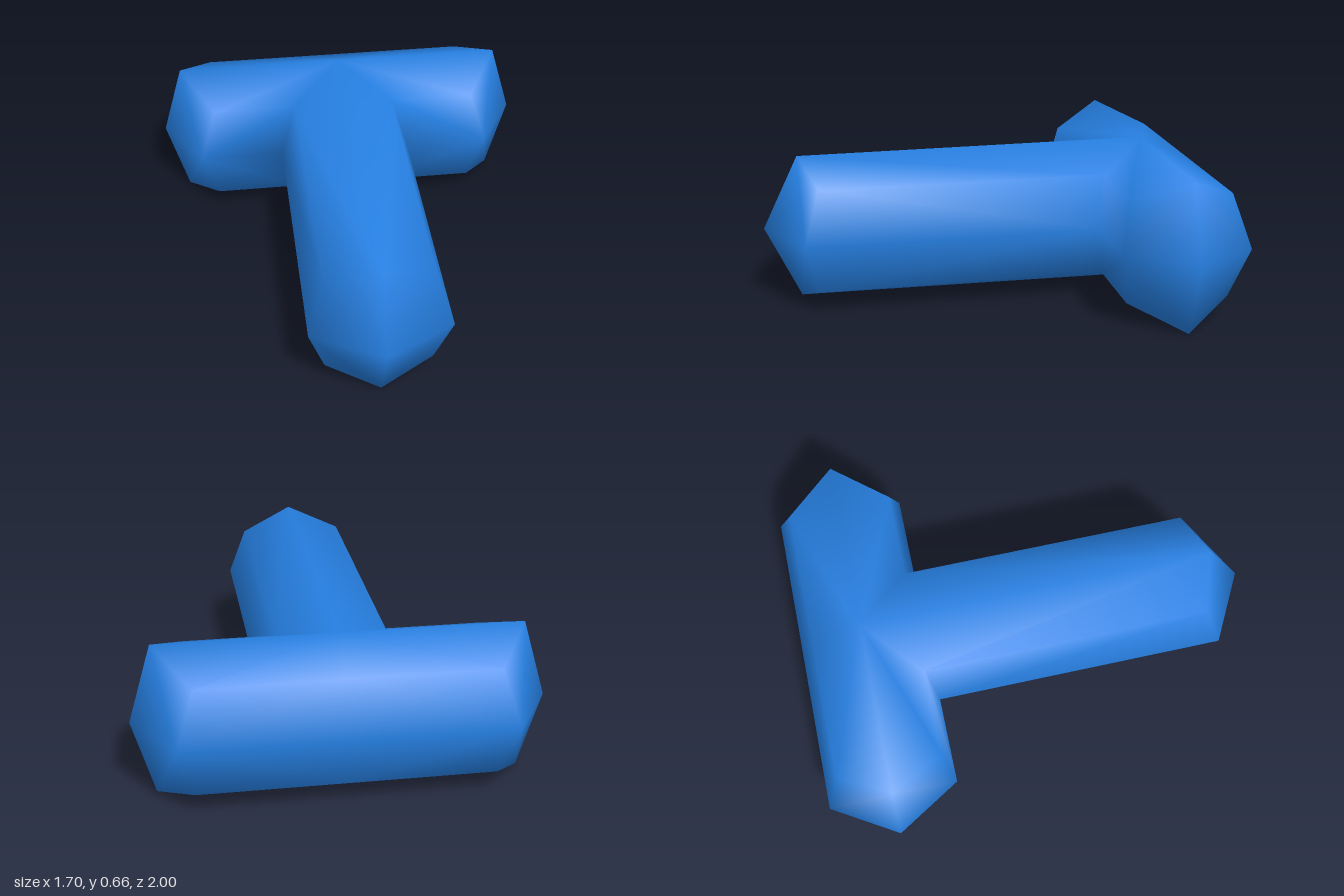
import * as THREE from 'three';
import { mergeVertices } from 'three/addons/utils/BufferGeometryUtils.js';

// Corner points of one quarter (x >= 0, upper half), y measured from the mid plane
const P = {
  // crossbar end
  tip: [0.85, 0, -0.72], top: [0.755, 0.33, -0.71], frontUp: [0.61, 0.23, -0.48],
  front: [0.68, 0, -0.44], backUp: [0.61, 0.23, -0.93], back: [0.68, 0, -1],
  // crossbar middle and joint
  topMid: [0, 0.33, -0.71], backUpMid: [0, 0.23, -0.93], backMid: [0, 0, -1],
  jointUp: [0.23, 0.23, -0.48], joint: [0.3, 0, -0.44],
  // stem end
  nose: [0, 0, 1], noseTop: [0, 0.322, 0.845], noseUp: [0.23, 0.23, 0.775], noseSide: [0.3, 0, 0.84],
};

// Quads of that quarter, counter-clockwise from outside
const QUADS = [
  // crossbar end cap
  ['top', 'frontUp', 'front', 'tip'], ['top', 'tip', 'back', 'backUp'],
  // crossbar sides
  ['topMid', 'jointUp', 'frontUp', 'top'], ['topMid', 'top', 'backUp', 'backUpMid'],
  ['backUpMid', 'backUp', 'back', 'backMid'], ['jointUp', 'joint', 'front', 'frontUp'],
  // stem sides and nose
  ['noseTop', 'noseUp', 'jointUp', 'topMid'], ['noseUp', 'noseSide', 'joint', 'jointUp'],
  ['noseTop', 'nose', 'noseSide', 'noseUp'],
];

export function createModel() {
  const positions = [];
  // mirror the quarter left/right and up/down
  for (const sx of [1, -1]) for (const sy of [1, -1]) {
    for (const quad of QUADS) {
      const [a, b, c, d] = quad.map((n) => [P[n][0] * sx, P[n][1] * sy + 0.33, P[n][2]]);
      const tris = sx * sy > 0 ? [a, b, c, a, c, d] : [a, c, b, a, d, c];
      for (const p of tris) positions.push(...p);
    }
  }
  let geometry = new THREE.BufferGeometry();
  geometry.setAttribute('position', new THREE.Float32BufferAttribute(positions, 3));
  geometry = mergeVertices(geometry, 1e-4); // welded for smooth normals
  geometry.computeVertexNormals();

  const blue = new THREE.MeshStandardMaterial({ color: 0x2680e3 });
  blue.name = 'blue';
  const body = new THREE.Mesh(geometry, blue);
  body.name = 'teeConnector';

  const group = new THREE.Group();
  group.name = 'tee';
  group.add(body);
  return group;
}
